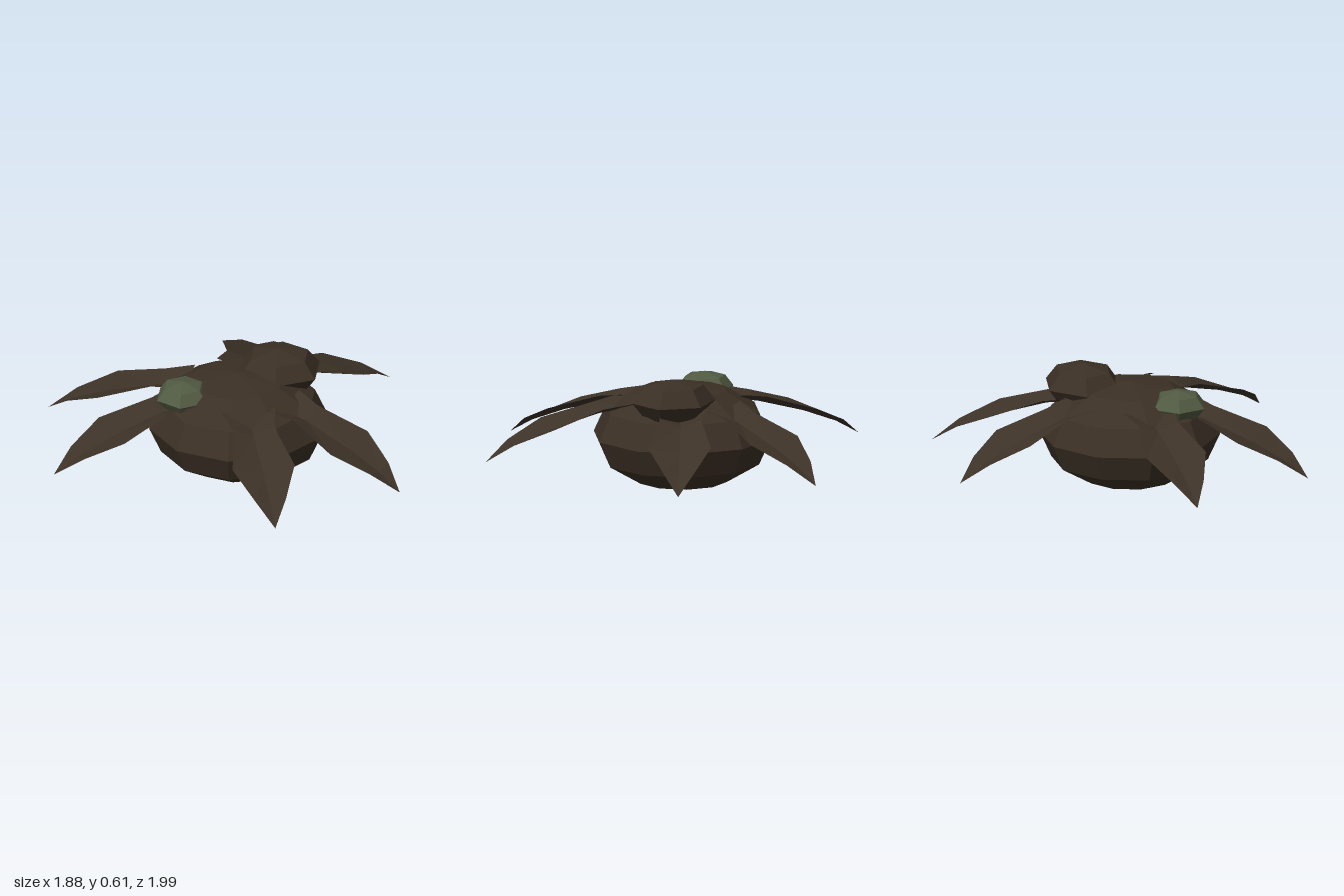
import * as THREE from 'three';

const bark = new THREE.MeshStandardMaterial({ color: 0x3b3025, flatShading: true });
bark.name = 'dark bark brown';
const leafBrown = new THREE.MeshStandardMaterial({ color: 0x3d3227, flatShading: true, side: THREE.DoubleSide });
leafBrown.name = 'dry leaf brown';
const moss = new THREE.MeshStandardMaterial({ color: 0x515a42, flatShading: true });
moss.name = 'moss green';

// Squashed low-poly sphere with a corner pointing along z
function blob(name, material, sides, rings, radii, position) {
  const geo = new THREE.SphereGeometry(1, sides, rings).rotateY(Math.PI / 2).scale(...radii);
  const mesh = new THREE.Mesh(geo, material);
  mesh.name = name;
  mesh.position.set(...position);
  return mesh;
}

// Drooping leaf along +z, creased down the middle with raised edges
function leafGeometry() {
  // distance, half width, edge height, crease height
  const rows = [
    [0.28, 0.14, 0.475, 0.425],
    [0.43, 0.105, 0.445, 0.405],
    [0.70, 0.16, 0.36, 0.325],
    [0.89, 0.08, 0.272, 0.25],
    [1.02, 0, 0.175, 0.175],
  ];
  const points = [];
  const index = [];
  rows.forEach(([d, w, edge, crease], i) => {
    points.push(-w, edge, d, 0, crease, d, w, edge, d);
    if (i === rows.length - 1) return;
    for (let k = 0; k < 2; k++) {
      const a = i * 3 + k;
      const b = a + 3;
      index.push(a, b, a + 1);
      // the last row closes to a point
      if (i < rows.length - 2) index.push(b, b + 1, a + 1);
      else if (k === 0) index.push(a + 1, b + 1, a + 2);
    }
  });
  // drop the repeated sliver at the tip
  if (index.length) index.splice(index.length - 3, 3);
  const geo = new THREE.BufferGeometry();
  geo.setAttribute('position', new THREE.Float32BufferAttribute(points, 3));
  geo.setIndex(index);
  geo.computeVertexNormals();
  return geo;
}

export function createModel() {
  const model = new THREE.Group();
  model.name = 'leafyPod';

  // Main pod
  model.add(blob('body', bark, 10, 6, [0.46, 0.272, 0.46], [0.05, 0.273, 0.02]));

  // Two buds on top
  model.add(blob('largeBud', bark, 6, 4, [0.222, 0.115, 0.203], [0.245, 0.5, -0.135]));
  model.add(blob('greenBud', moss, 6, 4, [0.145, 0.08, 0.15], [-0.215, 0.465, 0.145]));

  // Ring of leaves, placed by the direction of each tip
  const geo = leafGeometry();
  const tips = [[0, -1.02], [0.695, -0.75], [0.885, 0.51], [0.3, 0.97], [-0.88, 0.51], [-0.99, -0.225]];
  for (const [x, z] of tips) {
    const leaf = new THREE.Mesh(geo, leafBrown);
    leaf.name = 'leaf';
    leaf.position.set(0.05, 0, 0.02);
    leaf.rotation.y = Math.atan2(x, z);
    model.add(leaf);
  }
  return model;
}
